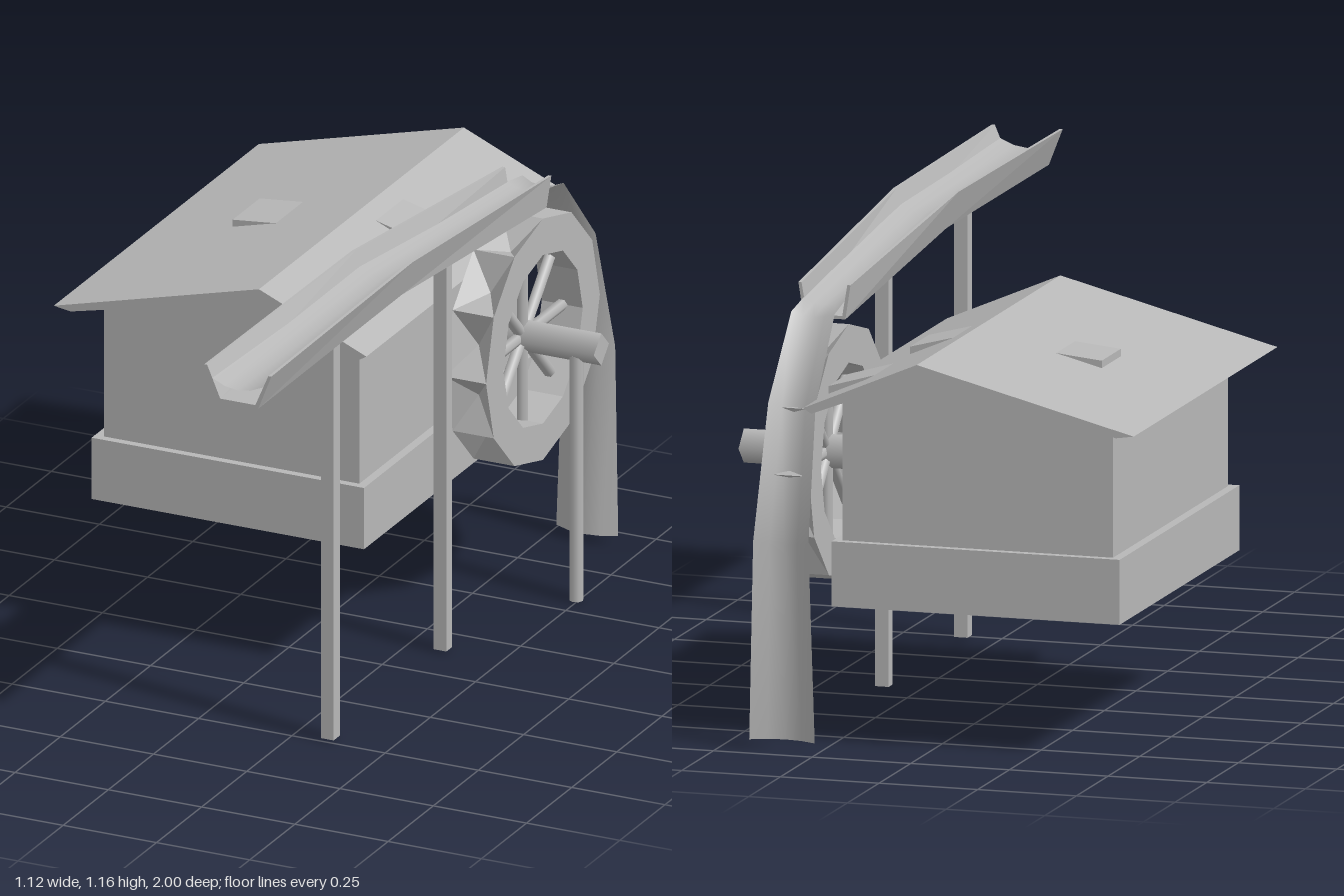
import * as THREE from 'three';

const grey = new THREE.MeshStandardMaterial({ color: 0xb8b8b8, side: THREE.DoubleSide });
grey.name = 'plain grey';

function add(parent, name, geometry, x = 0, y = 0, z = 0) {
  const mesh = new THREE.Mesh(geometry, grey);
  mesh.name = name;
  mesh.position.set(x, y, z);
  parent.add(mesh);
  return mesh;
}

function box(parent, name, x0, x1, y0, y1, z0, z1) {
  return add(parent, name, new THREE.BoxGeometry(x1 - x0, y1 - y0, z1 - z0),
    (x0 + x1) / 2, (y0 + y1) / 2, (z0 + z1) / 2);
}

const shapeOf = (pts) => new THREE.Shape(pts.map(([x, y]) => new THREE.Vector2(x, y)));

// Front outline pulled from z0 to z1
function extrudeZ(pts, z0, z1) {
  const g = new THREE.ExtrudeGeometry(shapeOf(pts), { depth: z1 - z0, bevelEnabled: false });
  return g.translate(0, 0, z0);
}

// Skin over matching cross-sections; closed sections also get end caps
function loft(sections, closed, smooth) {
  const n = sections[0].length;
  const index = [];
  for (let s = 0; s < sections.length - 1; s++) {
    for (let i = 0; i < (closed ? n : n - 1); i++) {
      const j = (i + 1) % n;
      const a = s * n + i, b = s * n + j, c = b + n, d = a + n;
      index.push(a, d, c, a, c, b);
    }
  }
  if (closed) {
    const o = (sections.length - 1) * n;
    for (let i = 0; i < n / 2 - 1; i++) {
      const [a, b, c, d] = [i, i + 1, n - 2 - i, n - 1 - i];
      index.push(a, b, c, a, c, d, o + a, o + c, o + b, o + a, o + d, o + c);
    }
  }
  let g = new THREE.BufferGeometry();
  g.setAttribute('position', new THREE.Float32BufferAttribute(sections.flat(2), 3));
  g.setIndex(index);
  if (!smooth) g = g.toNonIndexed();
  g.computeVertexNormals();
  return g;
}

function makeHouse() {
  const house = new THREE.Group();
  house.name = 'house';

  // Hollow foundation, open underneath
  const outline = shapeOf([[-0.478, -0.105], [0.252, -0.105], [0.252, 0.84], [-0.478, 0.84]]);
  outline.holes.push(shapeOf([[-0.455, -0.085], [-0.455, 0.82], [0.23, 0.82], [0.23, -0.085]]));
  const frame = new THREE.ExtrudeGeometry(outline, { depth: 0.16, bevelEnabled: false });
  add(house, 'foundation', frame.rotateX(-Math.PI / 2), 0, 0.34, 0);

  add(house, 'walls', extrudeZ([[-0.455, 0.49], [0.23, 0.49], [0.23, 0.853],
    [-0.015, 0.947], [-0.455, 0.845]], -0.82, 0.085));

  add(house, 'roof', extrudeZ([[-0.565, 0.84], [-0.52, 0.833], [-0.015, 0.948],
    [0.252, 0.845], [0.273, 0.858], [-0.015, 0.982]], -1, 0.135));

  // Lifted shingles
  const shingles = [
    [[-0.33, 0.88], [-0.19, 0.933], [-0.33, 0.919], -0.52, -0.37],
    [[0.14, 0.9], [0.14, 0.934], [0.03, 0.963], -0.57, -0.42],
    [[0.257, 0.855], [0.257, 0.884], [0.14, 0.918], -0.85, -0.7],
  ];
  for (const [a, b, c, z0, z1] of shingles) add(house, 'shingle', extrudeZ([a, b, c], z0, z1));
  return house;
}

// Wheel is built around the z axis, then turned to face +x
function makeWheel() {
  const wheel = new THREE.Group();
  wheel.name = 'waterWheel';
  const R = 0.315, r = 0.22, half = 0.055, sides = 12;
  const at = (k, rad, z) => {
    const a = (k / sides) * Math.PI * 2;
    return [rad * Math.cos(a), rad * Math.sin(a), z];
  };

  // Side rings, inner drum and dented buckets around the rim
  for (const s of [-1, 1]) {
    const ring = new THREE.RingGeometry(r, R, sides, 1);
    if (s < 0) ring.rotateY(Math.PI);
    add(wheel, 'sideRing', ring, 0, 0, s * half);
  }
  const rim = [], drum = [];
  for (let k = 0; k < sides; k++) {
    const corners = [at(k, R, -half), at(k + 1, R, -half), at(k + 1, R, half), at(k, R, half)];
    const apex = at(k + 0.5, 0.25, 0);
    corners.forEach((c, i) => rim.push(c, corners[(i + 1) % 4], apex));
    const [a, b, c, d] = [at(k, r, -half), at(k + 1, r, -half), at(k + 1, r, half), at(k, r, half)];
    drum.push(a, c, b, a, d, c);
  }
  for (const [name, tris] of [['buckets', rim], ['drum', drum]]) {
    const g = new THREE.BufferGeometry();
    g.setAttribute('position', new THREE.Float32BufferAttribute(tris.flat(), 3));
    g.computeVertexNormals();
    add(wheel, name, g);
  }

  // Four full-width bars give eight spokes
  for (let k = 0; k < 4; k++) {
    const spoke = add(wheel, 'spoke', new THREE.CylinderGeometry(0.015, 0.015, 0.45, 6));
    spoke.rotation.z = (k * Math.PI) / 4;
  }
  wheel.rotation.y = Math.PI / 2;
  wheel.position.set(0.35, 0.665, -0.57);
  return wheel;
}

function makeFlume() {
  const flume = new THREE.Group();
  flume.name = 'flume';
  const cx = 0.347, t = 0.008;

  // Flared trough: z, bottom y, top y, bottom and top half widths
  const stations = [[1, 1.067, 1.157, 0.055, 0.09], [0.2, 1.067, 1.157, 0.053, 0.082],
    [-0.6, 0.997, 1.082, 0.053, 0.066]];
  add(flume, 'trough', loft(stations.map(([z, y0, y1, b, w]) => [
    [cx - w, y1, z], [cx - b, y0, z], [cx + b, y0, z], [cx + w, y1, z],
    [cx + w - t, y1, z], [cx + b - t, y0 + t, z], [cx - b + t, y0 + t, z], [cx - w + t, y1, z],
  ]), true, false));

  // Water: centre y and z, edge y and z, half width
  const path = [[1.105, 1, 1.125, 1, 0.068], [1.1, 0.6, 1.12, 0.6, 0.066],
    [1.1, 0.2, 1.12, 0.2, 0.062], [1.03, -0.6, 1.045, -0.6, 0.053],
    [1.015, -0.68, 1.028, -0.69, 0.055], [0.83, -0.835, 0.835, -0.857, 0.06],
    [0.5, -0.918, 0.51, -0.945, 0.07], [0.02, -0.91, 0.02, -0.935, 0.083]];
  add(flume, 'water', loft(path.map(([y0, z0, y1, z1, w]) => [1, 0.5, 0, -0.5, -1].map((u) => {
    const k = u * u;
    return [cx + u * w, y0 + (y1 - y0) * k, z0 + (z1 - z0) * k];
  })), false, true));

  // Square posts
  box(flume, 'post', 0.325, 0.359, 0.005, 1.068, 0.46, 0.494);
  box(flume, 'post', 0.325, 0.359, 0.005, 1.04, -0.162, -0.13);
  return flume;
}

export function createModel() {
  const model = new THREE.Group();
  model.name = 'waterMill';
  model.add(makeHouse(), makeWheel(), makeFlume());

  // Four-sided axle and the post carrying its outer end
  const axle = new THREE.CylinderGeometry(0.042, 0.042, 0.335, 4).rotateZ(Math.PI / 2);
  add(model, 'axle', axle, 0.3925, 0.665, -0.573);
  add(model, 'axlePost', new THREE.CylinderGeometry(0.018, 0.018, 0.64, 8), 0.493, 0.32, -0.573);
  return model;
}
